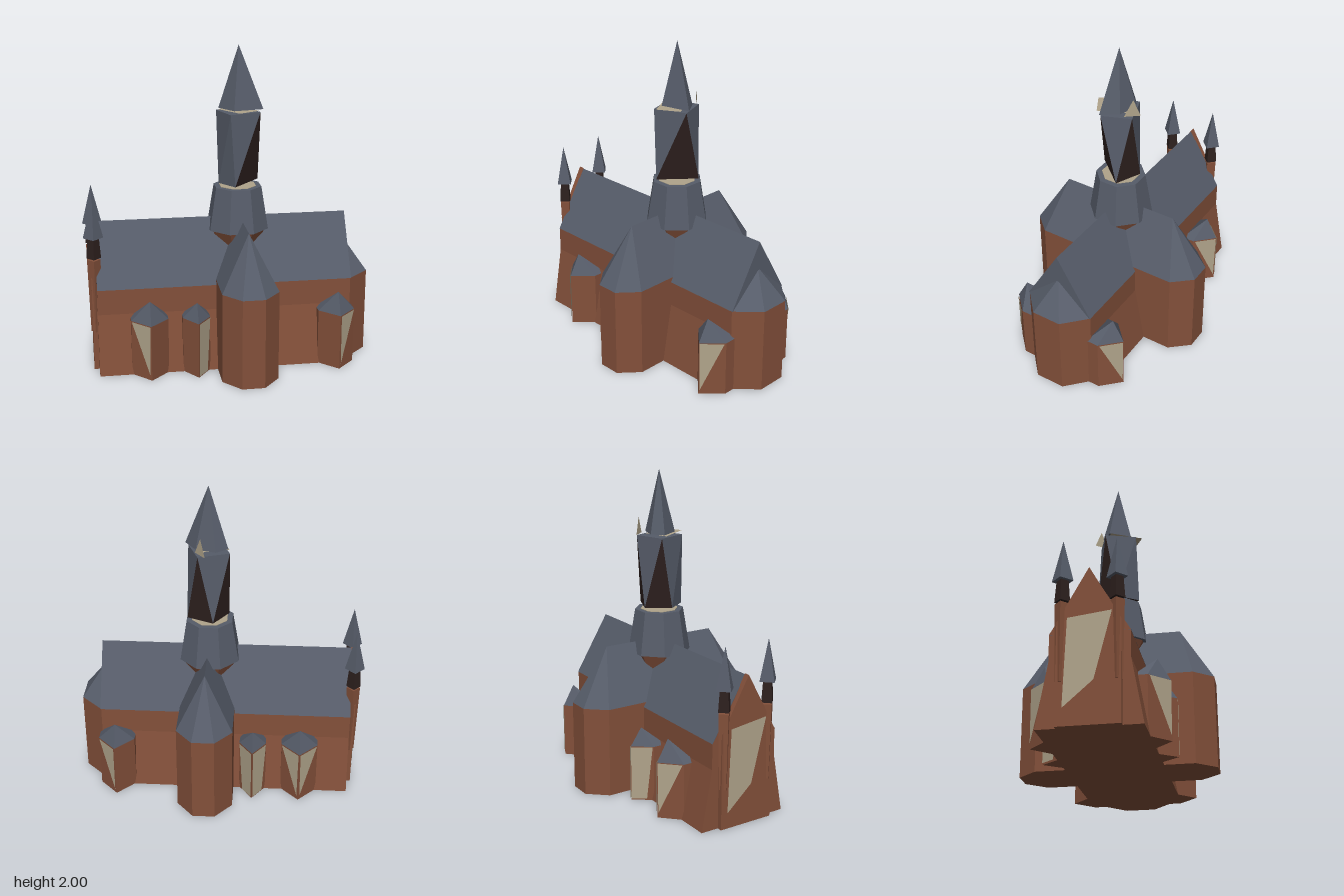
import * as THREE from 'three';

const paint = (name, color, extra = {}) => {
  const m = new THREE.MeshStandardMaterial({ color, ...extra });
  m.name = name;
  return m;
};

// Flat-faced solid lofted through rings of equal length, capped at both ends
function loft(rings) {
  const tris = [];
  const tri = (a, b, c) => {
    const n = new THREE.Vector3().subVectors(b, a).cross(new THREE.Vector3().subVectors(c, a));
    if (n.length() > 1e-7) tris.push([a, b, c]);
  };
  const r = rings.map(ring => ring.map(p => new THREE.Vector3(...p)));
  const n = r[0].length, last = r[r.length - 1];
  for (let k = 0; k < r.length - 1; k++) {
    for (let i = 0; i < n; i++) {
      const j = (i + 1) % n;
      tri(r[k][i], r[k][j], r[k + 1][j]);
      tri(r[k][i], r[k + 1][j], r[k + 1][i]);
    }
  }
  for (let i = 1; i < n - 1; i++) {
    tri(r[0][0], r[0][i + 1], r[0][i]);
    tri(last[0], last[i], last[i + 1]);
  }
  // turn the faces outward
  const c = r[0][0];
  let volume = 0;
  for (const [p, q, s] of tris) {
    const a = p.clone().sub(c), b = q.clone().sub(c), d = s.clone().sub(c);
    volume += a.dot(b.cross(d));
  }
  if (volume < 0) tris.forEach(t => t.reverse());
  return faces(tris);
}

function faces(tris) {
  const g = new THREE.BufferGeometry().setFromPoints(tris.flat());
  g.computeVertexNormals();
  return g;
}

const fan = pts => {
  const p = pts.map(q => new THREE.Vector3(...q));
  return faces(p.slice(2).map((_, i) => [p[0], p[i + 1], p[i + 2]]));
};

const at = (plan, y) => plan.map(([x, z]) => [x, y, z]);

export function createModel() {
  const brick = paint('brick', 0x83503a);
  const slate = paint('slate', 0x565c69);
  const stone = paint('pale stone', 0xb0a48b, { side: THREE.DoubleSide });
  const dark = paint('dark opening', 0x2d201e);

  const root = new THREE.Group();
  root.name = 'church';
  const body = new THREE.Group();
  body.name = 'churchBody';
  body.rotation.y = 0.412;
  body.position.set(0.008, 0, 0.018);
  root.add(body);
  const add = (name, geometry, material, parent = body) => {
    const m = new THREE.Mesh(geometry, material);
    m.name = name;
    parent.add(m);
    return m;
  };

  // Nave with battered lower walls and a gabled roof
  const rect = (x0, x1, h) => [[x0, -h], [x1, -h], [x1, h], [x0, h]];
  add('naveWalls', loft([
    at(rect(-0.83, 0.745, 0.295), 0),
    at(rect(-0.83, 0.745, 0.227), 0.38),
    at(rect(-0.83, 0.745, 0.227), 0.54)]), brick);
  add('naveRoof', loft([at(rect(-0.83, 0.77, 0.228), 0.54), at(rect(-0.83, 0.77, 0), 0.92)]), slate);

  // Polygonal apse at the east end
  const apse = [[0.7, -0.227], [0.765, -0.227], [0.905, -0.095], [0.905, 0.095], [0.765, 0.227], [0.7, 0.227]];
  add('apseWalls', loft([at(apse, 0), at(apse, 0.54)]), brick);
  add('apseRoof', loft([at(apse, 0.54), at(apse.map(() => [0.76, 0]), 0.75)]), slate);

  // Transept arms with hipped polygonal ends
  for (const s of [1, -1]) {
    const side = s > 0 ? 'south' : 'north';
    const c = 0.083;
    const arm = [[-0.175, 0], [-0.175, 0.48], [-0.07, 0.6], [0.07, 0.6], [0.175, 0.48], [0.175, 0]]
      .map(([x, z]) => [c + x, s * z]);
    const ridge = [0, 0.39, 0.39, 0.39, 0.39, 0].map(z => [c, s * z]);
    add(side + 'TranseptWalls', loft([at(arm, 0), at(arm, 0.57)]), brick);
    add(side + 'TranseptRoof', loft([at(arm, 0.57), at(ridge, 0.92)]), slate);
  }

  // Small pointed side chapels; pale windows are given per west/east face
  const chapels = [
    [-0.515, 1, 0.115, 'tri', null], [-0.225, 1, 0.085, null, 'full'], [0.665, 1, 0.115, null, 'tri'],
    [-0.515, -1, 0.115, 'tri', 'tri'], [-0.215, -1, 0.085, 'full', 'full'], [0.665, -1, 0.115, null, 'tri']];
  for (const [u, s, w, west, east] of chapels) {
    const plan = [[-w, 0.2], [-w, 0.285], [0, 0.4], [w, 0.285], [w, 0.2]].map(([x, z]) => [u + x, s * z]);
    add('chapelWalls', loft([at(plan, 0), at(plan, 0.355)]), brick);
    add('chapelRoof', loft([at(plan, 0.355), at(plan.map(() => [u, s * 0.325]), w > 0.1 ? 0.49 : 0.465)]), slate);
    [[west, -1], [east, 1]].forEach(([kind, d]) => {
      if (!kind) return;
      const e = 0.004;
      const p = (t, y) => [u + d * (w * (1 - t) + e), y, s * (0.285 + 0.115 * t + e)];
      const pts = kind === 'tri'
        ? [p(0.06, 0.352), p(0.98, 0.352), p(0.95, 0.03)]
        : [p(0.05, 0.352), p(0.98, 0.352), p(0.98, 0.01), p(0.3, 0.01)];
      add('chapelWindow', fan(pts), stone);
    });
  }

  // West front with gable and tall window
  const front = [[-0.18, 0], [-0.18, 0.6], [0, 0.925], [0.18, 0.6], [0.18, 0]];
  add('westGable', loft([-0.825, -0.862].map(x => front.map(([z, y]) => [x, y, z]))), brick);
  add('westWallGable', fan([[-0.833, 0.54, -0.228], [-0.833, 0.92, 0], [-0.833, 0.54, 0.228]].reverse()), brick);
  add('westWindow', fan([[-0.12, 0.62], [0.13, 0.65], [0.03, 0.25], [-0.14, 0.1]].map(([z, y]) => [-0.868, y, z])), stone);

  // Twin west turrets
  for (const z of [-0.155, 0.155]) {
    const part = (name, rTop, rBottom, y0, y1, mat) => {
      const g = new THREE.CylinderGeometry(rTop, rBottom, y1 - y0, 4).toNonIndexed();
      g.computeVertexNormals();
      add(name, g, mat).position.set(-0.842, (y0 + y1) / 2, z);
    };
    part('turretShaft', 0.042, 0.03, 0.25, 0.72, brick);
    part('turretBelfry', 0.035, 0.045, 0.73, 0.86, dark);
    part('turretSpire', 0, 0.062, 0.86, 1.115, slate);
  }

  // Crossing tower base: brick drum, flared slate skirt and pale cap
  const octagon = r => Array.from({ length: 8 }, (_, i) => {
    const a = (i + 0.5) * Math.PI / 4;
    return [0.075 + r * Math.cos(a), r * Math.sin(a) - 0.005];
  });
  add('crossingDrum', loft([at(octagon(0.1), 0.68), at(octagon(0.18), 0.845)]), brick);
  add('crossingSkirt', loft([at(octagon(0.2), 0.845), at(octagon(0.155), 1.118)]), slate);
  add('skirtCap', loft([at(octagon(0.12), 1.118), at(octagon(0.12), 1.121)]), stone);

  // Twisted belfry: slate facets hang from the top, dark openings rise from the base
  const low = [[0.10, 0.13], [0.18, -0.12], [0.0, -0.12], [-0.03, 0.05]].map(([x, z]) => new THREE.Vector3(x, 1.14, z));
  const top = [[0.22, -0.02], [0.085, -0.155], [-0.065, -0.02], [0.07, 0.13]].map(([x, z]) => new THREE.Vector3(x, 1.59, z));
  const slateTris = [[top[0], top[1], top[2]], [top[0], top[2], top[3]]];
  const darkTris = [[low[0], low[2], low[1]], [low[0], low[3], low[2]]];
  for (let i = 0; i < 4; i++) {
    const j = (i + 1) % 4;
    (i === 3 ? slateTris : darkTris).push([low[i], low[j], top[i]]);
    slateTris.push([low[j], top[j], top[i]]);
  }
  add('belfryWalls', faces(slateTris), slate, root);
  add('belfryOpenings', faces(darkTris), dark, root);

  // Spire with a pale cornice and a small gable at the back
  const foot = [[-0.045, 0.0], [0.08, 0.085], [0.235, -0.03], [0.13, -0.095], [0.0, -0.08]];
  add('spire', loft([at(foot, 1.607), at(foot.map(() => [0.08, -0.015]), 2)]), slate, root);
  add('cornice', fan([[-0.05, 1.601, 0.01], [0.13, 1.605, 0.14], [0.22, 1.605, 0.02], [0.08, 1.601, -0.1]]), stone, root);
  add('backGable', fan([[0.03, 1.6, -0.165], [0.07, 1.71, -0.145], [0.12, 1.6, -0.12]]), stone, root);

  return root;
}
